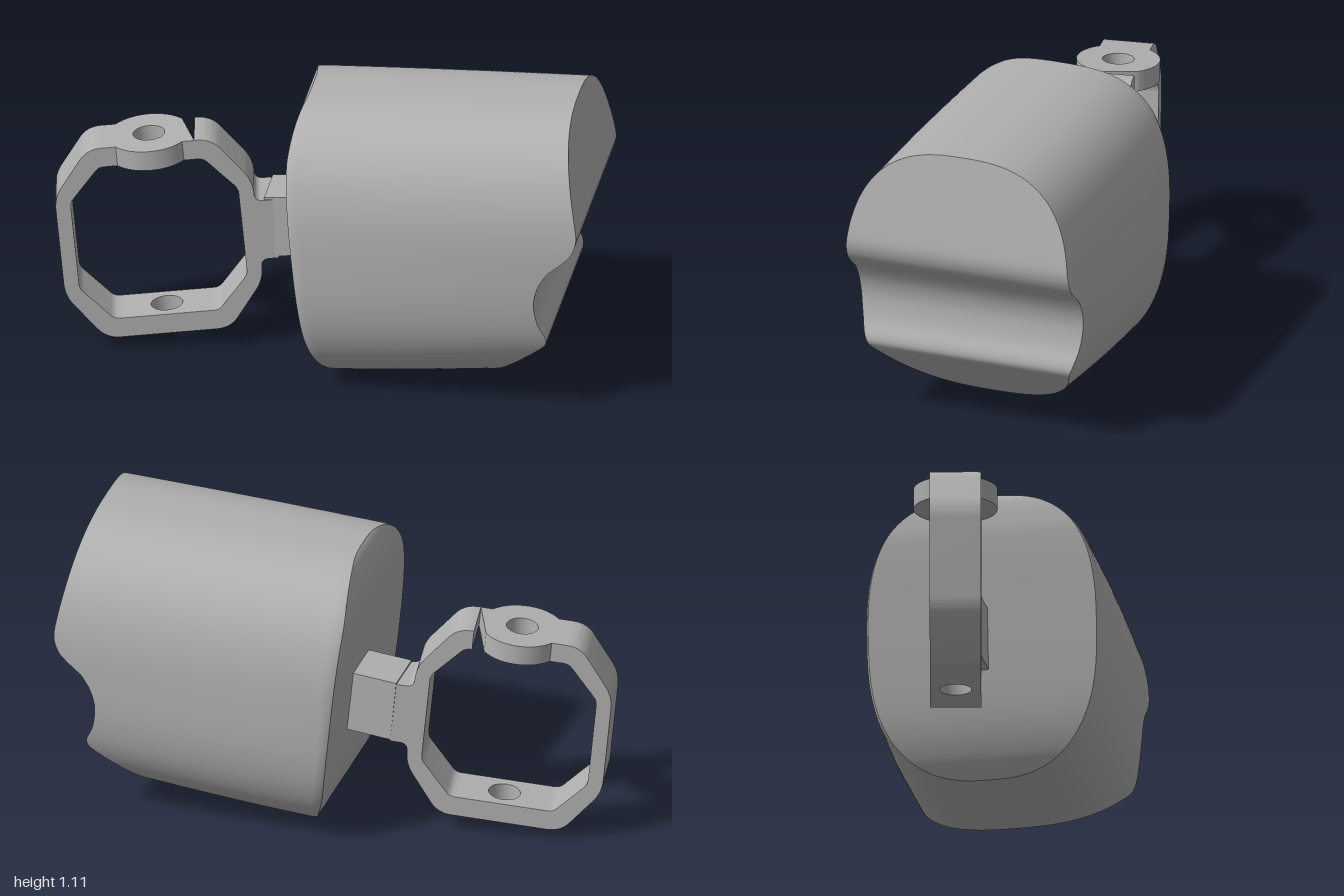
import * as THREE from 'three';
import { toCreasedNormals } from 'three/addons/utils/BufferGeometryUtils.js';

const metal = new THREE.MeshStandardMaterial({ color: 0xb0b0b0 });
metal.name = 'grey';

function addMesh(parent, name, geometry) {
  const mesh = new THREE.Mesh(geometry, metal);
  mesh.name = name;
  parent.add(mesh);
  return mesh;
}

function meshGeometry(positions, index) {
  const g = new THREE.BufferGeometry();
  g.setAttribute('position', new THREE.Float32BufferAttribute(positions, 3));
  g.setIndex(index);
  g.computeVertexNormals();
  return g;
}

// ---- Body: rounded section along x, trimmed by a curved profile at each end
const bottomY = (x) => 0.002 + (x - 0.09) * 0.092;
const topY = (x) => 1.072 + (x + 0.045) * 0.041;

// Turns end profile points (x, y) into a lookup: height fraction -> x
function endProfile(points) {
  const curve = new THREE.SplineCurve(points.map(([x, y]) =>
    new THREE.Vector2((y - bottomY(x)) / (topY(x) - bottomY(x)), x)));
  const samples = curve.getPoints(240);
  return (s) => {
    let i = 1;
    while (i < samples.length - 1 && samples[i].x < s) i++;
    const a = samples[i - 1], b = samples[i];
    return THREE.MathUtils.lerp(a.y, b.y, THREE.MathUtils.clamp((s - a.x) / (b.x - a.x), 0, 1));
  };
}

const backEnd = endProfile([[0.09, 0.002], [0.037, 0.08], [-0.005, 0.2], [-0.032, 0.37],
  [-0.062, 0.66], [-0.08, 0.88], [-0.076, 0.97], [-0.062, 1.04], [-0.043, 1.072]]);
const gripEnd = endProfile([[0.62, 0.051], [0.703, 0.126], [0.786, 0.2], [0.865, 0.27], [0.88, 0.295],
  [0.876, 0.325], [0.855, 0.37], [0.843, 0.42], [0.841, 0.48], [0.86, 0.545], [0.9, 0.605],
  [0.95, 0.643], [0.98, 0.68], [0.995, 0.73], [0.99, 0.785], [0.971, 0.89], [0.951, 1.0], [0.931, 1.112]]);

function bodyPoint(angle, u, widthScale) {
  const power = (v) => Math.sign(v) * Math.pow(Math.abs(v), 2 / 2.7);
  const s = (1 + power(Math.cos(angle))) / 2;
  const x = THREE.MathUtils.lerp(backEnd(s), gripEnd(s), u);
  const y = THREE.MathUtils.lerp(bottomY(x), topY(x), s);
  return [x, y, 0.441 * widthScale * power(Math.sin(angle))];
}

function buildBody(group) {
  const half = 100, around = half * 2;
  const stations = [[0, 0.95], [0.015, 0.968], [0.04, 0.977], [0.2, 0.99], [0.4, 1],
    [0.6, 1], [0.8, 0.993], [1, 0.982]];
  const n = stations.length, positions = [], index = [];
  for (let i = 0; i < around; i++) {
    for (const [u, w] of stations) positions.push(...bodyPoint(i * Math.PI / half, u, w));
    for (let j = 0; j < n - 1; j++) {
      const a = i * n + j, b = ((i + 1) % around) * n + j;
      index.push(a, b, a + 1, b, b + 1, a + 1);
    }
  }
  addMesh(group, 'bodyShell', meshGeometry(positions, index));

  // End faces are strips that run straight across z
  for (const [name, station, flip] of [['bodyBackFace', stations[0], true], ['bodyGripFace', stations[n - 1], false]]) {
    const p = [], idx = [];
    for (let i = 0; i <= half; i++) {
      const [x, y, z] = bodyPoint(i * Math.PI / half, ...station);
      p.push(x, y, z, x, y, -z);
      if (i === half) break;
      const a = i * 2, b = a + 1, c = a + 2, d = a + 3;
      if (flip) idx.push(a, b, c, b, d, c);
      else idx.push(a, c, b, b, c, d);
    }
    addMesh(group, name, meshGeometry(p, idx));
  }
}

// ---- Frame helpers
// Polygon with corners rounded by the third value of each point
function roundedShape(points) {
  const shape = new THREE.Shape();
  points.forEach(([x, y, r = 0], i) => {
    const here = new THREE.Vector2(x, y);
    const toward = (k) => {
      const q = points[(k + points.length) % points.length];
      return new THREE.Vector2(q[0], q[1]).sub(here).setLength(r).add(here);
    };
    const start = r ? toward(i - 1) : here, end = r ? toward(i + 1) : here;
    if (i === 0) shape.moveTo(start.x, start.y);
    else shape.lineTo(start.x, start.y);
    if (r) shape.quadraticCurveTo(x, y, end.x, end.y);
  });
  shape.closePath();
  return shape;
}

function extrude(shape, depth) {
  const g = new THREE.ExtrudeGeometry(shape, { depth, bevelEnabled: false, curveSegments: 12 });
  g.translate(0, 0, -depth / 2);
  return toCreasedNormals(g, 0.6);
}

const DEPTH = 0.185, OUT = 0.384, IN = 0.308, CUT = 0.165;

function buildFrame(group) {
  const frame = new THREE.Group();
  frame.name = 'octagonFrame';
  frame.position.set(-0.61, 0.44, 0);
  frame.rotation.set(0, 0.17, 0.095);
  group.add(frame);

  // Two C-shaped halves; the inner one carries the stub of the neck
  const inner = (s) => [[s * CUT, IN], [s * 0.19, IN, 0.02], [s * 0.305, 0.175, 0.02],
    [s * 0.305, -0.175, 0.02], [s * 0.19, -IN, 0.02], [s * CUT, -IN]];
  const lower = (s) => [[s * CUT, -OUT], [s * 0.225, -OUT, 0.05], [s * 0.36, -0.2, 0.05]];
  const upper = (s) => [[s * 0.36, 0.2, 0.05], [s * 0.225, OUT, 0.05], [s * CUT, OUT]];
  const stub = [[0.36, -0.118, 0.03], [0.425, -0.118], [0.425, 0.118], [0.36, 0.118, 0.03]];
  addMesh(frame, 'frameOuterHalf', extrude(roundedShape([...inner(-1), ...lower(-1), ...upper(-1)]), DEPTH));
  addMesh(frame, 'frameNeckHalf', extrude(roundedShape([...inner(1), ...lower(1), ...stub, ...upper(1)]), DEPTH));

  // Drilled bars: a round lug on top, a plain strip below
  const w = DEPTH / 2, r = 0.152, a = Math.asin(w / r);
  const lug = new THREE.Shape();
  lug.moveTo(CUT, w);
  lug.absarc(0, 0, r, a, Math.PI - a, false);
  lug.lineTo(-CUT, w);
  lug.lineTo(-CUT, -w);
  lug.absarc(0, 0, r, Math.PI + a, 2 * Math.PI - a, false);
  lug.lineTo(CUT, -w);
  lug.closePath();
  const strip = roundedShape([[-CUT, -w], [CUT, -w], [CUT, w], [-CUT, w]]);
  for (const [name, shape, side] of [['topLug', lug, 1], ['bottomBar', strip, -1]]) {
    const hole = new THREE.Path();
    hole.absarc(0, 0, 0.058, 0, Math.PI * 2, true);
    shape.holes.push(hole);
    const bar = addMesh(frame, name, extrude(shape, OUT - IN));
    bar.rotation.x = -Math.PI / 2;
    bar.position.y = side * (OUT + IN) / 2;
  }
}

export function createModel() {
  const group = new THREE.Group();
  group.name = 'mountedGrip';
  buildBody(group);
  buildFrame(group);

  // Neck between frame and body
  const neck = addMesh(group, 'neck', new THREE.BoxGeometry(0.23, 0.236, DEPTH));
  neck.position.set(-0.095, 0.497, -0.0725);
  neck.rotation.z = 0.095;
  return group;
}
